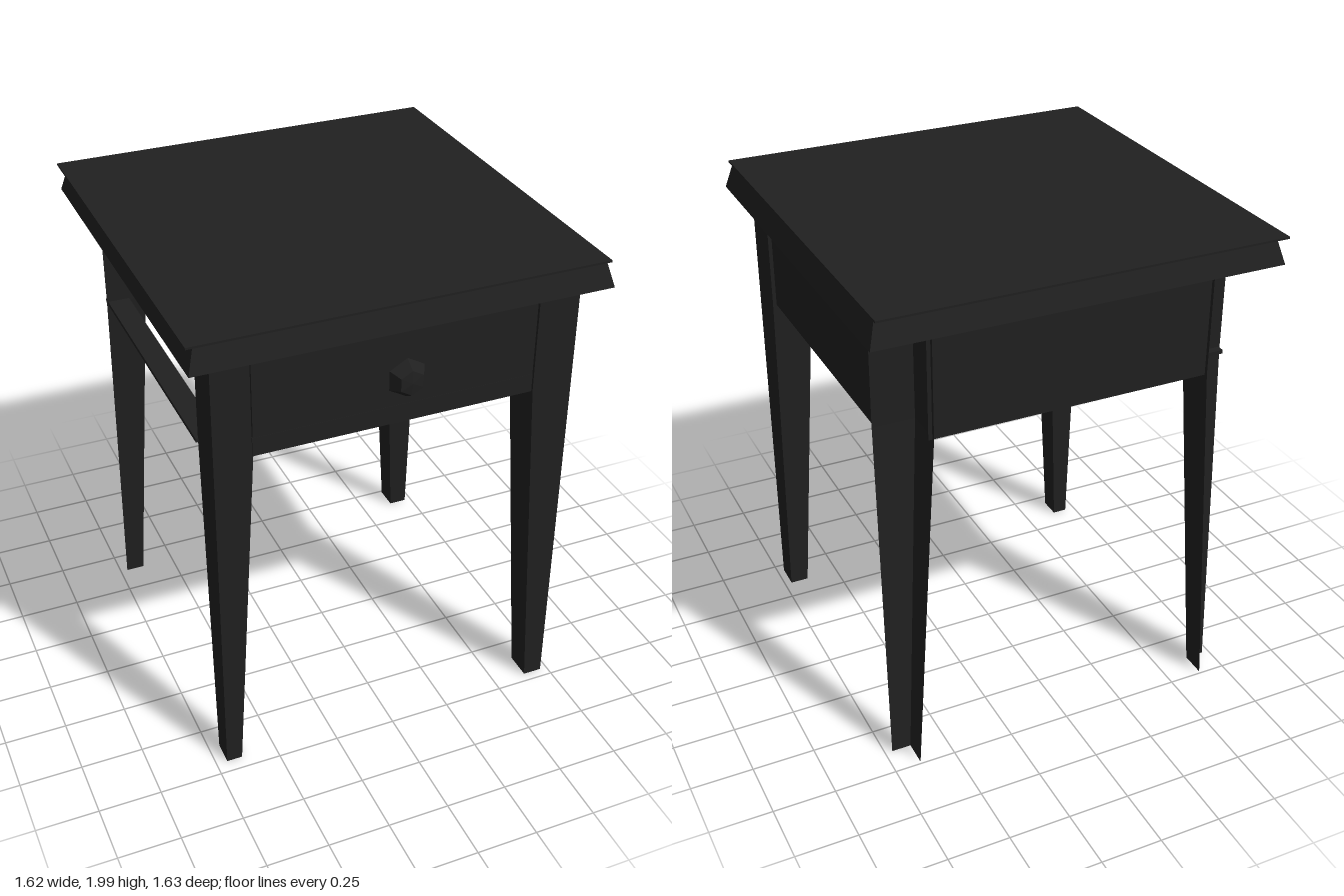
import * as THREE from 'three';

const black = new THREE.MeshStandardMaterial({ color: 0x202020, flatShading: true, side: THREE.DoubleSide });
black.name = 'black paint';

export function createModel() {
  const table = new THREE.Group();
  table.name = 'sideTable';

  const add = (name, geometry, parent = table) => {
    const mesh = new THREE.Mesh(geometry, black);
    mesh.name = name;
    parent.add(mesh);
    return mesh;
  };

  // Box given by its lower and upper corners
  const box = (name, a, b, parent) => {
    const g = new THREE.BoxGeometry(b[0] - a[0], b[1] - a[1], b[2] - a[2]);
    g.translate((a[0] + b[0]) / 2, (a[1] + b[1]) / 2, (a[2] + b[2]) / 2);
    return add(name, g, parent);
  };

  // Keeps only the listed sides of a box (0 +x, 1 -x, 2 +y, 3 -y, 4 +z, 5 -z)
  const keepSides = (g, sides) => {
    const index = Array.from(g.index.array);
    const kept = sides.flatMap(s => index.slice(g.groups[s].start, g.groups[s].start + g.groups[s].count));
    g.clearGroups();
    g.setIndex(kept);
    return g;
  };

  // Tabletop: thin sheet over an open moulding that flares downwards
  box('tabletop', [-0.815, 1.99, -0.81], [0.78, 1.998, 0.8]);
  const moulding = new THREE.BoxGeometry(1.61, 0.1, 1.61);
  const mp = moulding.attributes.position;
  for (let i = 0; i < mp.count; i++) {
    if (mp.getY(i) > 0) mp.setXYZ(i, mp.getX(i) * 0.965, mp.getY(i), mp.getZ(i) * 0.965);
  }
  moulding.translate(-0.005, 1.938, 0);
  add('tabletopMoulding', keepSides(moulding, [0, 1, 4, 5]));

  // Legs: upright outside, tapering below the apron on the inner sides
  // innerX and innerZ are listed for the foot, the apron's lower edge and the top
  const innerX = [0.642, 0.555, 0.555];
  const legGeometry = (sx, sz, outerX, outerZ, innerZ) => {
    const g = new THREE.BoxGeometry(1, 1, 1, 1, 2, 1);
    const p = g.attributes.position;
    for (let i = 0; i < p.count; i++) {
      const level = Math.round((p.getY(i) + 0.5) * 2);
      const x = p.getX(i) * sx < 0 ? innerX[level] : outerX;
      const z = p.getZ(i) * sz < 0 ? innerZ[level] : outerZ;
      p.setXYZ(i, sx * x, [0.01, 1.46, 1.89][level], sz * z);
    }
    return g;
  };
  const frontZ = [0.6, 0.535, 0.535], backZ = [0.637, 0.57, 0.57];
  add('frontLeftLeg', legGeometry(1, 1, 0.72, 0.71, frontZ));
  add('frontRightLeg', legGeometry(-1, 1, 0.705, 0.695, frontZ));
  // Back legs are angle sections, open to the outside
  add('backLeftLeg', keepSides(legGeometry(1, -1, 0.72, 0.74, backZ), [1, 4]));
  add('backRightLeg', keepSides(legGeometry(-1, -1, 0.72, 0.74, backZ), [0, 4]));

  // Apron: closed at the back and left, open on the right with a flat low rail
  box('leftApron', [0.69, 1.455, -0.57], [0.705, 1.89, 0.54]);
  box('backApron', [-0.56, 1.455, -0.725], [0.57, 1.89, -0.71]);
  box('rightRail', [-0.715, 1.45, -0.6], [-0.625, 1.465, 0.54]);
  box('frontLowerRail', [-0.56, 1.45, 0.65], [0.56, 1.525, 0.7]);
  box('frontUpperRail', [-0.56, 1.845, 0.65], [0.56, 1.89, 0.7]);

  // Drawer
  const drawer = new THREE.Group();
  drawer.name = 'drawer';
  table.add(drawer);
  box('drawerFront', [-0.56, 1.53, 0.66], [0.55, 1.838, 0.706], drawer);
  box('drawerFloor', [-0.6, 1.56, -0.565], [0.6, 1.57, 0.66], drawer);
  for (const x of [-0.6, 0.6]) {
    box('drawerSide', [x - 0.008, 1.56, -0.565], [x + 0.008, 1.87, 0.54], drawer);
  }

  // Faceted knob
  const profile = [[0, 0], [0.078, 0.06], [0.05, 0.105], [0, 0.11]].map(q => new THREE.Vector2(...q));
  const knob = add('drawerKnob', new THREE.LatheGeometry(profile, 6), drawer);
  knob.rotation.x = Math.PI / 2;
  knob.position.set(-0.005, 1.685, 0.715);

  return table;
}
